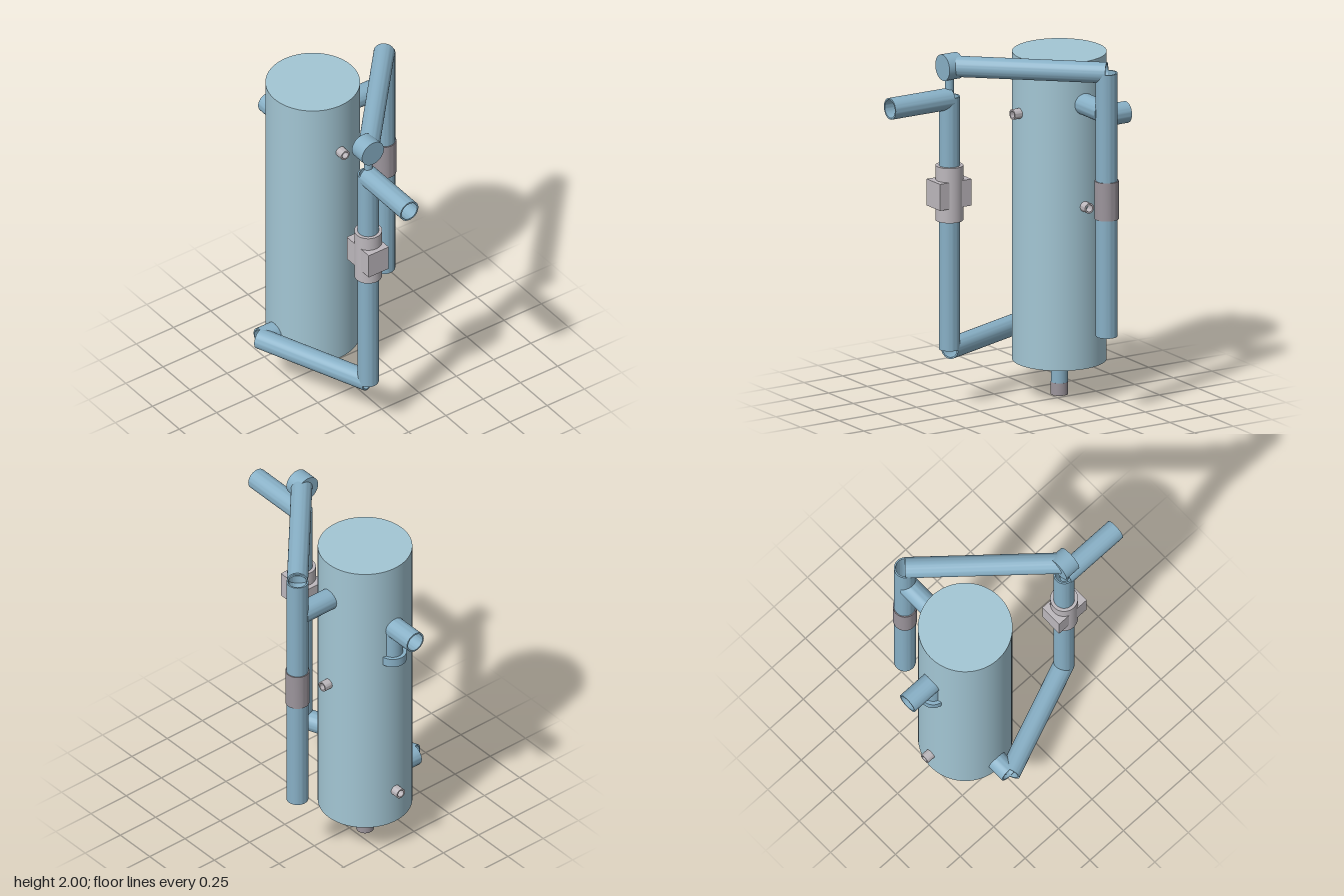
import * as THREE from 'three';
import { toCreasedNormals } from 'three/addons/utils/BufferGeometryUtils.js';

const paint = (color) => new THREE.MeshStandardMaterial({ color });
const SEG = 48;

export function createModel() {
  const group = new THREE.Group();
  const tankBlue = paint(0xa3c6d4);
  const pipeBlue = paint(0x88b0c6);
  const lightGrey = paint(0xbdb8bd);
  const darkGrey = paint(0x9c959c);

  function add(name, geometry, material) {
    const mesh = new THREE.Mesh(geometry, material);
    mesh.name = name;
    group.add(mesh);
    return mesh;
  }

  // Place a y-aligned mesh between two points
  function span(mesh, a, b) {
    const from = new THREE.Vector3(...a), to = new THREE.Vector3(...b);
    mesh.position.copy(from).add(to).multiplyScalar(0.5);
    const dir = to.sub(from).normalize();
    mesh.quaternion.setFromUnitVectors(new THREE.Vector3(0, 1, 0), dir);
    return mesh;
  }
  const length = (a, b) => new THREE.Vector3(...a).distanceTo(new THREE.Vector3(...b));

  // Solid cylinder between two points
  function rod(name, a, b, r, material) {
    return span(add(name, new THREE.CylinderGeometry(r, r, length(a, b), SEG), material), a, b);
  }

  // Open hollow pipe with wall thickness
  function pipe(name, a, b, r, material = pipeBlue, wall = 0.009) {
    const h = length(a, b) / 2;
    const profile = [[r, -h], [r, h], [r - wall, h], [r - wall, -h], [r, -h]]
      .map(([x, y]) => new THREE.Vector2(x, y));
    const geometry = toCreasedNormals(new THREE.LatheGeometry(profile, SEG), 0.6);
    return span(add(name, geometry, material), a, b);
  }

  const TX = -0.305, TZ = 0.065, TR = 0.258; // tank axis and radius
  const RX = 0.345, RZ = 0.16;               // riser axis
  const BZ = -0.415;                         // back downpipe axis
  const R = 0.058;                           // main pipe radius

  // Tank and bottom drain
  add('tank', new THREE.CylinderGeometry(TR, TR, 1.74, 96), tankBlue).position.set(TX, 1.07, TZ);
  rod('drainPipe', [TX, 0.07, TZ], [TX, 0.21, TZ], 0.047, pipeBlue);
  rod('drainPlug', [TX, 0, TZ], [TX, 0.07, TZ], 0.048, darkGrey);

  // Lower pipe run from the tank front to the riser
  pipe('lowerStub', [TX, 0.33, 0.29], [TX, 0.33, 0.42], R);
  pipe('lowerPipe', [TX, 0.33, 0.42], [RX, 0.33, RZ], R);

  // Riser with its pump
  pipe('riser', [RX, 0.33, RZ], [RX, 1.76, RZ], R);
  rod('pumpBody', [RX, 1.06, RZ], [RX, 1.37, RZ], 0.076, lightGrey);
  add('pumpBlock', new THREE.BoxGeometry(0.205, 0.15, 0.134), lightGrey).position.set(RX, 1.215, RZ + 0.003);
  pipe('outletPipe', [RX, 1.745, RZ], [0.73, 1.745, RZ], 0.06);
  rod('bleedPipe', [RX, 1.7, RZ], [RX, 1.9, RZ], 0.024, pipeBlue);

  // Upper pipe run to the back downpipe
  rod('topCap', [0.295, 1.927, RZ], [0.39, 1.927, RZ], 0.073, pipeBlue);
  pipe('upperPipe', [TX, 1.93, BZ], [0.335, 1.93, 0.15], R);
  pipe('downpipe', [TX, 0.44, BZ], [TX, 1.93, BZ], 0.06);
  pipe('downpipeSleeve', [TX, 1.105, BZ], [TX, 1.32, BZ], 0.066, darkGrey, 0.007);
  pipe('downpipeBranch', [TX, 1.7, BZ + 0.025], [TX, 1.7, -0.17], 0.06);

  // Side inlet with its drop leg and collar
  pipe('inletPipe', [-0.735, 1.53, 0.063], [-0.54, 1.53, 0.063], 0.06);
  rod('inletDropLeg', [-0.543, 1.33, 0.063], [-0.543, 1.53, 0.063], 0.056, pipeBlue);
  rod('inletCollar', [-0.543, 1.305, 0.063], [-0.543, 1.357, 0.063], 0.076, pipeBlue);

  // Small threaded ports
  pipe('leftPort', [-0.06, 1.625, TZ], [0, 1.625, TZ], 0.029, lightGrey);
  pipe('rightPort', [-0.61, 0.415, TZ], [-0.55, 0.415, TZ], 0.029, lightGrey);
  pipe('backPort', [TX, 1.12, -0.24], [TX, 1.12, -0.18], 0.029, lightGrey);

  return group;
}
